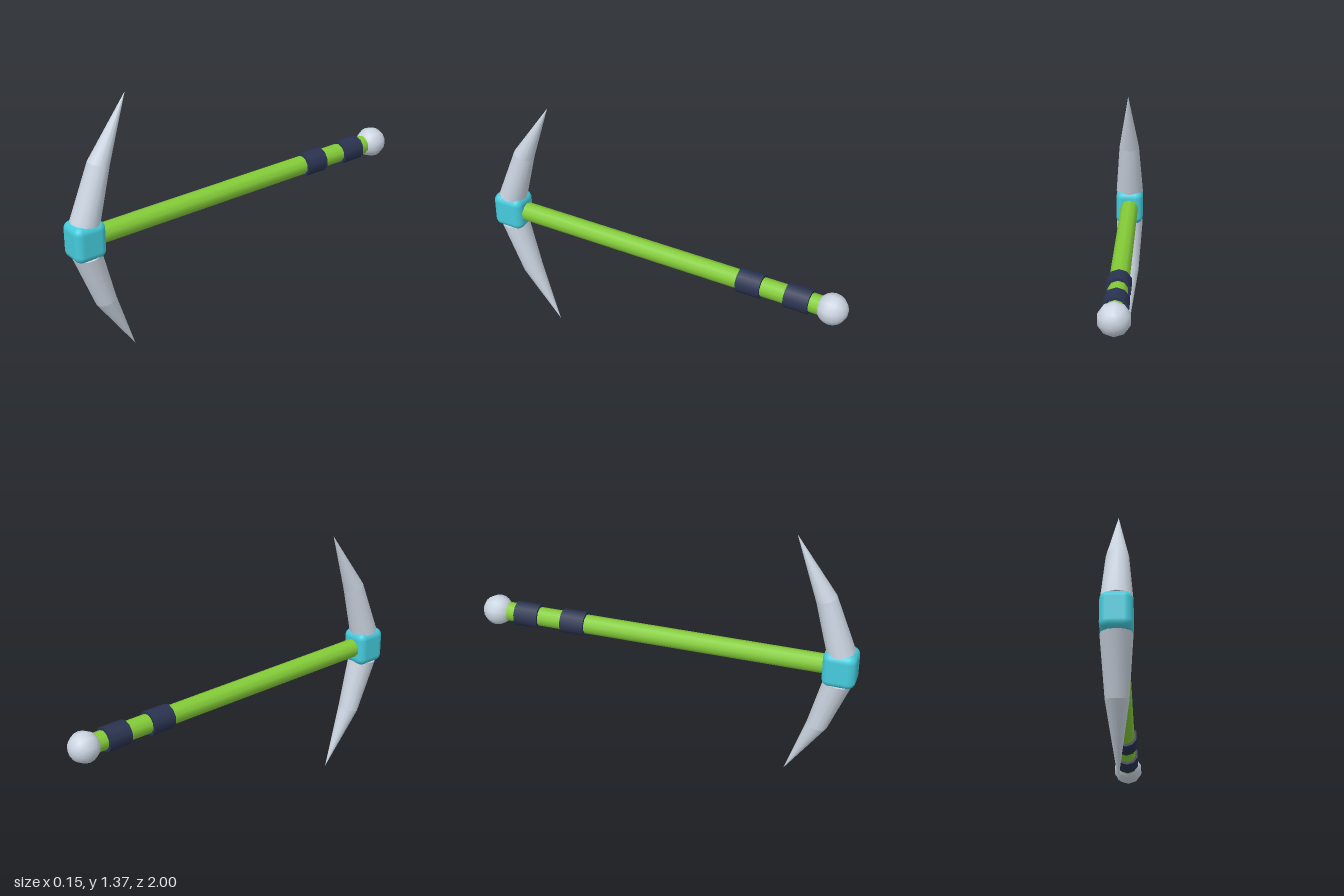
import * as THREE from 'three';
import { RoundedBoxGeometry } from 'three/addons/geometries/RoundedBoxGeometry.js';

const mat = (name, color) => {
  const m = new THREE.MeshStandardMaterial({ color });
  m.name = name;
  return m;
};

const AXIS_Y = 0.69; // height of the handle's axis
const SIDES = 12;

// Cross-sections of a spike: front and back edge as [z, y above axis], half width in x
const SECTIONS = [
  { front: [0.983, 0.096], back: [0.838, 0.076], half: 0.076 },
  { front: [0.872, 0.382], back: [0.768, 0.352], half: 0.055 },
  { front: [0.66, 0.685], back: [0.66, 0.684], half: 0.0005 },
];

// Smooth skin between two elliptical cross-sections; dir is 1 for up, -1 for down
function loft(a, b, dir, capped) {
  const pos = [], idx = [];
  const point = (s, t) => {
    const c = Math.cos(t);
    const mix = (i) => (s.front[i] + s.back[i]) / 2 + ((s.front[i] - s.back[i]) / 2) * c;
    pos.push(s.half * Math.sin(t), dir * mix(1), mix(0));
  };
  const tri = (p, q, r) => (dir > 0 ? idx.push(p, q, r) : idx.push(p, r, q));
  for (const s of [a, b])
    for (let i = 0; i < SIDES; i++) point(s, (i / SIDES) * Math.PI * 2);
  for (let i = 0; i < SIDES; i++) {
    const j = (i + 1) % SIDES;
    tri(i, j, SIDES + j);
    tri(i, SIDES + j, SIDES + i);
  }
  if (capped) {
    // Separate vertices keep the base edge sharp
    const o = pos.length / 3;
    for (let i = 0; i < SIDES; i++) point(a, (i / SIDES) * Math.PI * 2);
    for (let i = 1; i < SIDES - 1; i++) tri(o, o + i + 1, o + i);
  }
  const g = new THREE.BufferGeometry();
  g.setAttribute('position', new THREE.Float32BufferAttribute(pos, 3));
  g.setIndex(idx);
  g.computeVertexNormals();
  return g;
}

export function createModel() {
  const model = new THREE.Group();
  model.name = 'pickaxe';
  const steel = mat('steel', 0xcbd5e1);
  const green = mat('green', 0x84cc38);
  const cyan = mat('cyan', 0x45cbdc);
  const navy = mat('navy', 0x2a3350);

  const add = (name, geometry, material, z = 0) => {
    const mesh = new THREE.Mesh(geometry, material);
    mesh.name = name;
    mesh.position.set(0, AXIS_Y, z);
    model.add(mesh);
  };
  const rod = (r, length) => new THREE.CylinderGeometry(r, r, length, 10).rotateX(Math.PI / 2);

  // Handle with two grip bands and a ball at its end
  add('handle', rod(0.05, 1.78), green, 0.01);
  add('rearGrip', rod(0.064, 0.128), navy, -0.746);
  add('frontGrip', rod(0.064, 0.128), navy, -0.488);
  const ball = new THREE.SphereGeometry(0.08, 10, 10).rotateY(Math.PI / 2).rotateX(Math.PI / 2);
  add('pommel', ball, steel, -0.92);

  // Rounded block joining handle and spikes
  add('headBlock', new RoundedBoxGeometry(0.153, 0.192, 0.17, 3, 0.04), cyan, 0.915);

  // Two mirrored spikes, each a thick root and a pointed tip
  for (const [side, dir] of [['upper', 1], ['lower', -1]]) {
    add(side + 'SpikeRoot', loft(SECTIONS[0], SECTIONS[1], dir, true), steel);
    add(side + 'SpikeTip', loft(SECTIONS[1], SECTIONS[2], dir, false), steel);
  }
  return model;
}
